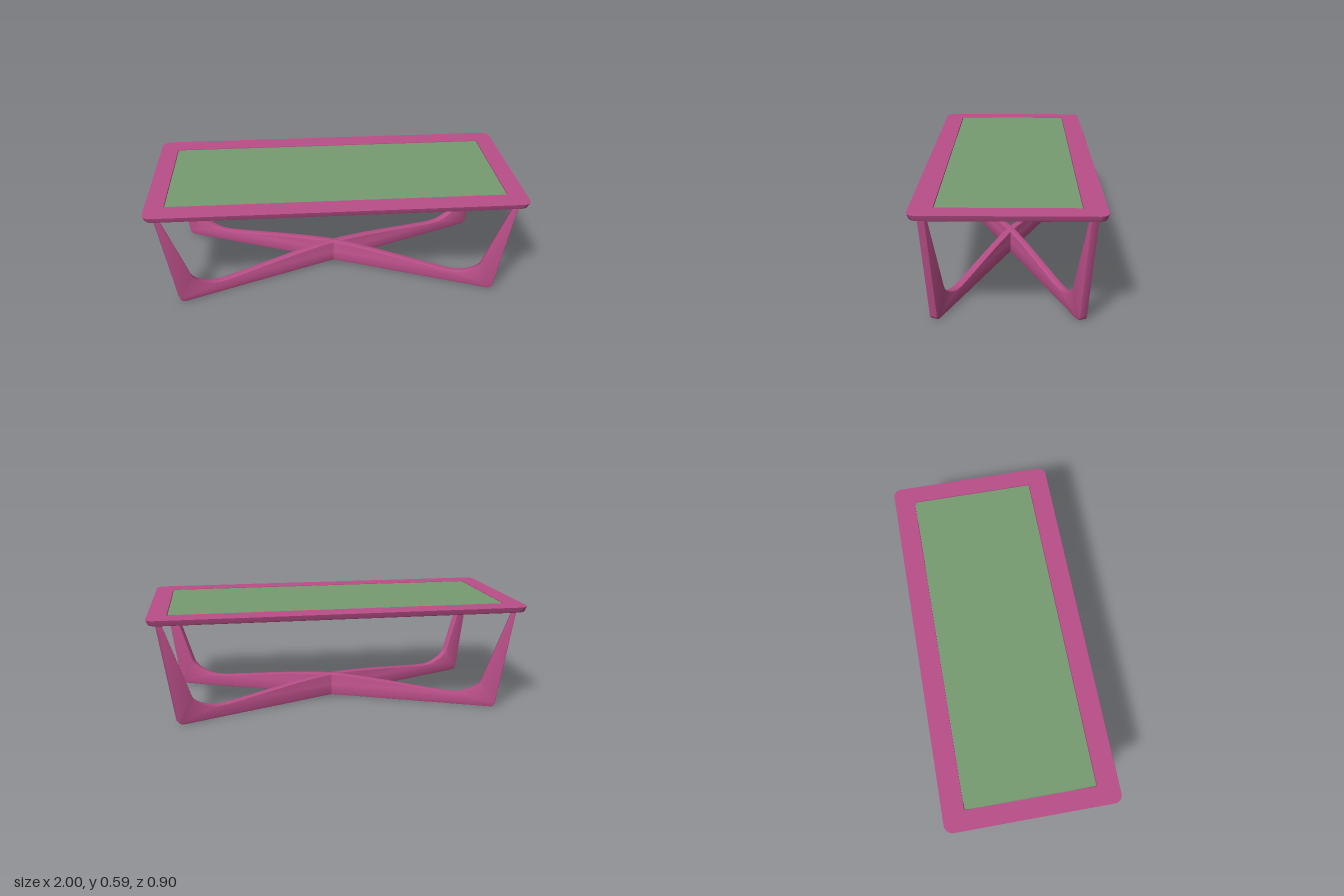
import * as THREE from 'three';
import { toCreasedNormals } from 'three/addons/utils/BufferGeometryUtils.js';

const pink = new THREE.MeshStandardMaterial({ color: 0xb94f88 });
const green = new THREE.MeshStandardMaterial({ color: 0x769c70 });

// Rectangle with rounded corners, centred on the origin
function roundedRect(path, w, h, r) {
  path.absarc(w - r, h - r, r, 0, Math.PI / 2);
  path.absarc(r - w, h - r, r, Math.PI / 2, Math.PI);
  path.absarc(r - w, r - h, r, Math.PI, Math.PI * 1.5);
  path.absarc(w - r, r - h, r, Math.PI * 1.5, Math.PI * 2);
  path.closePath();
  return path;
}

// Top frame: ring whose outer side tapers inward toward the bottom
function frameGeometry() {
  const shape = roundedRect(new THREE.Shape(), 1, 0.452, 0.045);
  const hole = new THREE.Path();
  hole.moveTo(-0.9, -0.34).lineTo(-0.9, 0.34).lineTo(0.9, 0.34).lineTo(0.9, -0.34).closePath();
  shape.holes.push(hole);
  const profile = [[0.013, 0.555], [0.009, 0.557], [0.007, 0.561], [0, 0.585], [0.001, 0.587]]; // inset, height
  const geo = new THREE.ExtrudeGeometry(shape, {
    depth: profile.length - 1, steps: profile.length - 1, bevelEnabled: false, curveSegments: 10,
  });
  geo.rotateX(-Math.PI / 2);
  const p = geo.attributes.position;
  for (let i = 0; i < p.count; i++) {
    const x = p.getX(i), z = p.getZ(i);
    const [inset, y] = profile[Math.round(p.getY(i))];
    const outer = Math.abs(x) > 0.91 || Math.abs(z) > 0.35;
    const d = outer ? inset : 0;
    p.setXYZ(i, x - Math.sign(x) * d, y, z - Math.sign(z) * d);
  }
  return toCreasedNormals(geo, 0.6);
}

// One flat plank forming two legs and the arched stretcher between them
function legGeometry() {
  const bevel = 0.003, thick = 0.04;
  const s = new THREE.Shape();
  s.moveTo(0, 0);
  s.lineTo(0.915, 0);
  s.bezierCurveTo(0.938, 0, 0.946, 0.008, 0.95, 0.03);
  s.lineTo(1.03, 0.556);
  s.lineTo(1.008, 0.556);
  s.lineTo(0.868, 0.15);
  s.bezierCurveTo(0.852, 0.105, 0.77, 0.066, 0.7, 0.066);
  s.bezierCurveTo(0.62, 0.066, 0.2, 0.125, 0, 0.125);
  // mirror the half outline to the other side
  const half = s.getPoints(10);
  const other = half.slice(1, -1).reverse().map((v) => new THREE.Vector2(-v.x, v.y));
  const geo = new THREE.ExtrudeGeometry(new THREE.Shape([...half, ...other]), {
    depth: thick - 2 * bevel, bevelEnabled: true, bevelSize: bevel,
    bevelOffset: -bevel, bevelThickness: bevel, bevelSegments: 2,
  });
  geo.translate(0, 0, bevel - thick / 2);
  return toCreasedNormals(geo, 0.6);
}

export function createModel() {
  const table = new THREE.Group();
  table.name = 'coffeeTable';
  const add = (name, geo, mat) => {
    const mesh = new THREE.Mesh(geo, mat);
    mesh.name = name;
    table.add(mesh);
    return mesh;
  };

  add('topFrame', frameGeometry(), pink);

  // Inset panel with a narrow gap around it
  add('topPanel', new THREE.BoxGeometry(1.794, 0.012, 0.674), green).position.y = 0.579;

  // Two planks crossing along the diagonals
  const leg = legGeometry();
  const angle = Math.atan(0.41);
  add('crossLegsA', leg, pink).rotation.y = angle;
  add('crossLegsB', leg, pink).rotation.y = -angle;

  return table;
}
